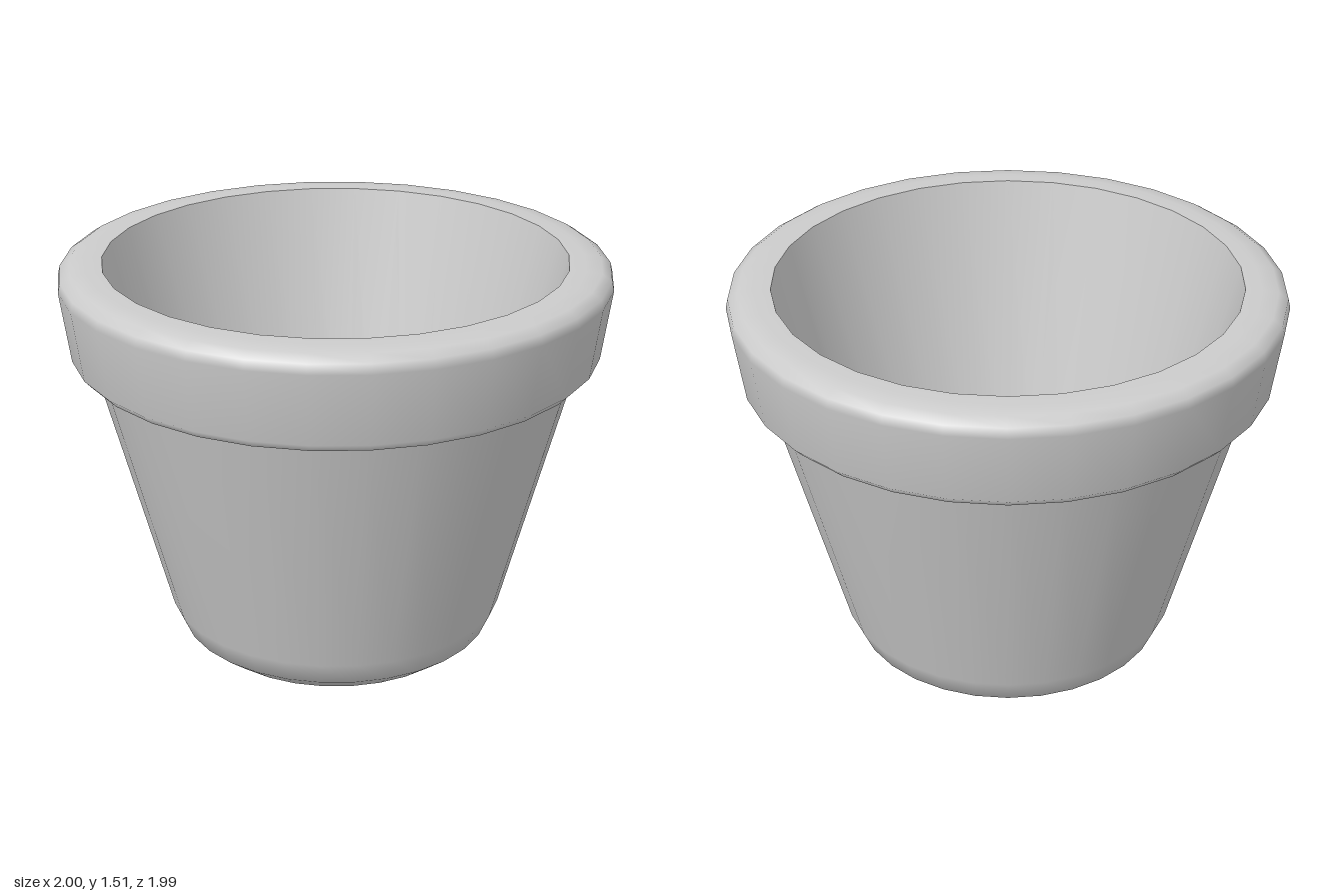
import * as THREE from 'three';

const SIDES = 30;
const material = new THREE.MeshStandardMaterial({ color: 0xcccccc });

// Each part is one smooth lathe; edges between parts stay sharp.
function lathe(name, profile) {
  const points = profile.map(([r, y]) => new THREE.Vector2(r, y));
  const mesh = new THREE.Mesh(
    new THREE.LatheGeometry(points, SIDES, Math.PI / 2, Math.PI * 2), material);
  mesh.name = name;
  return mesh;
}

export function createModel() {
  const pot = new THREE.Group();
  pot.name = 'flowerPot';

  // Tapered outer wall with a rounded foot
  pot.add(lathe('outerWall', [
    [0, 0], [0.41, 0], [0.5, 0.025], [0.585, 0.09], [0.625, 0.18], [0.885, 1.16],
  ]));

  // Flat step under the rim
  pot.add(lathe('rimUnderside', [[0.885, 1.16], [0.935, 1.16]]));

  // Flared rim band with a rounded lip
  pot.add(lathe('rim', [
    [0.935, 1.16], [0.963, 1.19], [1, 1.45], [0.992, 1.485], [0.957, 1.508], [0.9, 1.515], [0.84, 1.515],
  ]));

  // Inner wall running down to a softly blended floor
  pot.add(lathe('innerWall', [
    [0.84, 1.515], [0.53, 0.26], [0.49, 0.18], [0.43, 0.15], [0, 0.15],
  ]));

  return pot;
}
